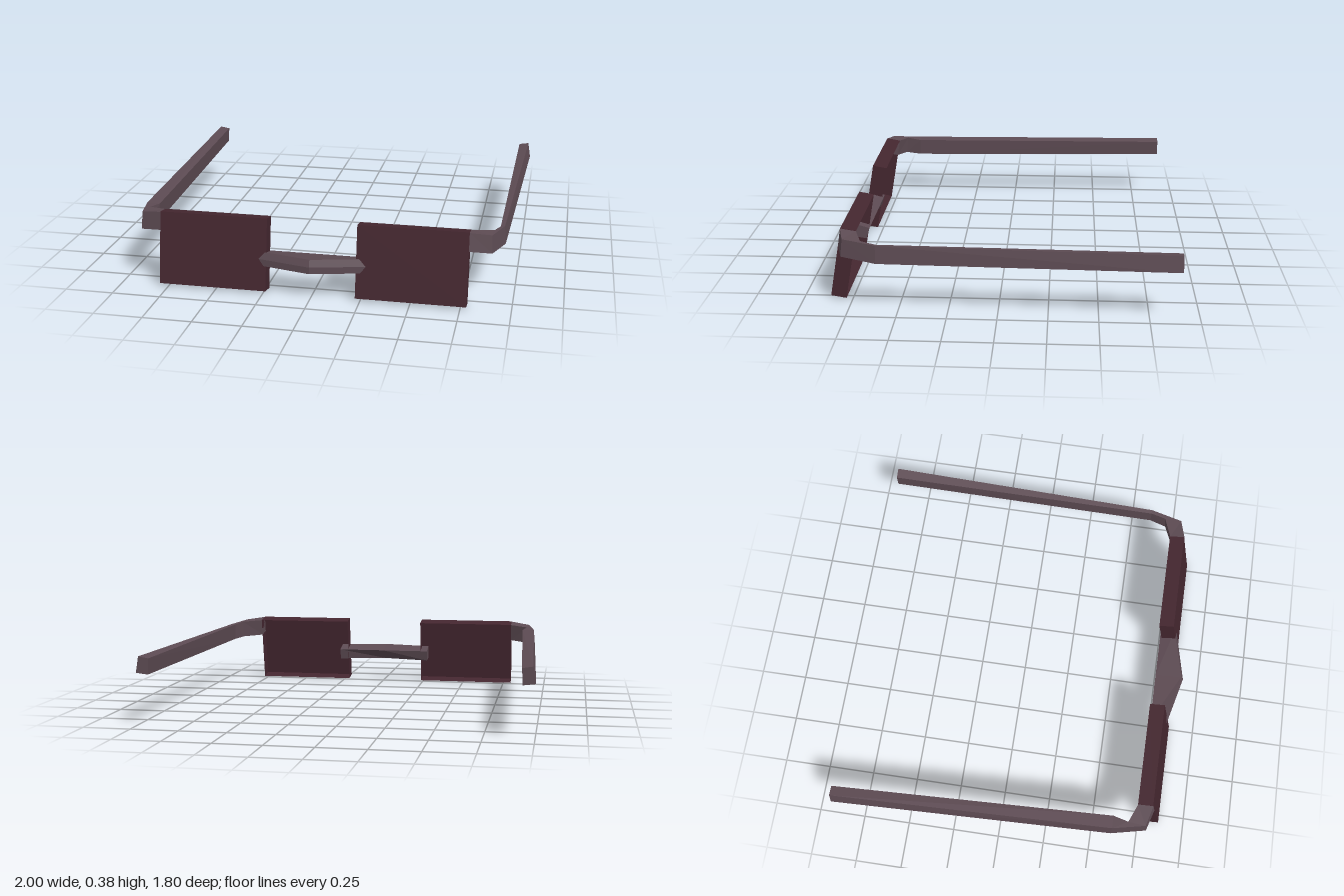
import * as THREE from 'three';

const V = (x, y, z) => new THREE.Vector3(x, y, z);

// Flat-faced skin over a row of equal-length rings, with optional end caps
function loft(rings, { capStart = true, capEnd = true, flip = false } = {}) {
  const pos = [];
  const tri = (a, b, c) => {
    for (const p of flip ? [a, c, b] : [a, b, c]) pos.push(p.x, p.y, p.z);
  };
  const cap = (ring) => {
    for (let i = 1; i < ring.length - 1; i++) tri(ring[0], ring[i], ring[i + 1]);
  };
  for (let r = 0; r < rings.length - 1; r++) {
    const a = rings[r], b = rings[r + 1];
    for (let i = 0; i < a.length; i++) {
      const j = (i + 1) % a.length;
      tri(a[i], a[j], b[j]);
      tri(a[i], b[j], b[i]);
    }
  }
  if (capStart) cap([...rings[0]].reverse());
  if (capEnd) cap(rings[rings.length - 1]);
  const geo = new THREE.BufferGeometry();
  geo.setAttribute('position', new THREE.Float32BufferAttribute(pos, 3));
  geo.computeVertexNormals();
  return geo;
}

export function createModel() {
  const group = new THREE.Group();
  const frameMat = new THREE.MeshStandardMaterial({ color: 0x5d4b53, side: THREE.DoubleSide });
  frameMat.name = 'greyPlumFrame';
  const lensMat = new THREE.MeshStandardMaterial({ color: 0x44262f, side: THREE.DoubleSide });
  lensMat.name = 'darkPlumLens';

  const add = (name, geo, mat) => {
    const mesh = new THREE.Mesh(geo, mat);
    mesh.name = name;
    group.add(mesh);
  };

  // Lenses: shallow tilted trays, open at the back
  const lens = (x0, x1) => {
    const ring = (yt, zt, yb, zb) => [V(x1, yt, zt), V(x1, yb, zb), V(x0, yb, zb), V(x0, yt, zt)];
    return loft([ring(0.383, 0.798, 0.014, 0.863), ring(0.369, 0.719, 0, 0.784)], { capEnd: false });
  };
  add('leftLens', lens(0.225, 0.78), lensMat);
  add('rightLens', lens(-0.795, -0.235), lensMat);

  // Nose bridge: pointed forward at the middle, straight along its upper back edge
  const bridgeRing = (x, back, lowBack) => [
    V(x, 0.213, 0.884 - back), V(x, 0.177, 0.898 - back), V(x, 0.142, 0.898 - back),
    V(x, 0.13, lowBack), V(x, 0.19, 0.742),
  ];
  add('bridge', loft([
    bridgeRing(-0.275, 0.064, 0.76), bridgeRing(0, 0, 0.83), bridgeRing(0.275, 0.064, 0.76),
  ]), frameMat);

  // Temples: hinge at the lens, bent corner, long straight arm
  // Ring order: outer top, outer bottom, inner bottom, inner top
  const temple = (s, hinge, corner, innerTop) => loft([
    [[hinge, 0.381, 0.8], [hinge, 0.288, 0.814], [hinge, 0.274, 0.735], [hinge, 0.368, 0.72]],
    [[corner, 0.366, 0.772], [corner + 0.004, 0.275, 0.782], [0.89, 0.266, 0.69], [0.892, 0.36, 0.68]],
    [[0.938, 0.355, 0.6], [0.946, 0.262, 0.6], [innerTop + 0.004, 0.26, 0.6], [innerTop, 0.352, 0.6]],
    [[0.986, 0.354, -0.9], [1, 0.27, -0.9], [0.937, 0.262, -0.9], [0.932, 0.345, -0.9]],
  ].map((ring) => ring.map(([x, y, z]) => V(s * x, y, z))), { flip: s < 0 });
  add('leftTemple', temple(1, 0.78, 0.888, 0.917), frameMat);
  add('rightTemple', temple(-1, 0.795, 0.902, 0.87), frameMat);

  return group;
}
